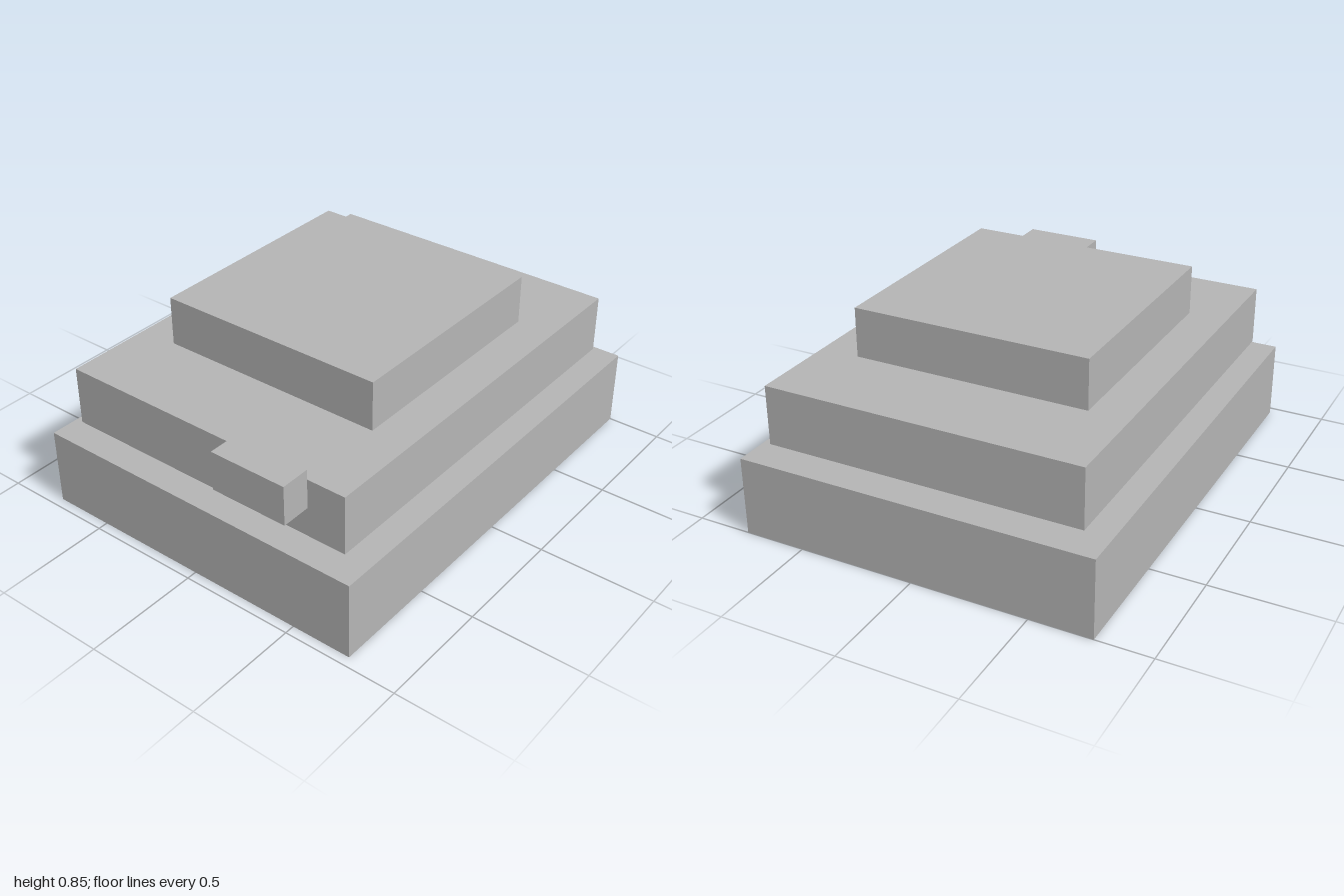
import * as THREE from 'three';

export function createModel() {
  const model = new THREE.Group();
  model.name = 'steppedBlocks';

  const grey = new THREE.MeshStandardMaterial({ color: 0xb4b4b4 });
  grey.name = 'plain grey';

  // Box given by its extents along each axis
  const addBlock = (name, [x0, x1], [y0, y1], [z0, z1]) => {
    const mesh = new THREE.Mesh(new THREE.BoxGeometry(x1 - x0, y1 - y0, z1 - z0), grey);
    mesh.position.set((x0 + x1) / 2, (y0 + y1) / 2, (z0 + z1) / 2);
    mesh.name = name;
    model.add(mesh);
  };

  // Three tiers, with a narrow gap above the lowest
  addBlock('baseTier', [-0.765, 0.765], [0, 0.34], [-1, 0.957]);
  addBlock('middleTier', [-0.68, 0.68], [0.385, 0.64], [-0.915, 0.872]);
  addBlock('topTier', [-0.51, 0.51], [0.64, 0.853], [-0.532, 0.489]);

  // Small block on the front of the middle tier
  addBlock('frontBlock', [0.17, 0.51], [0.513, 0.683], [0.872, 1]);

  return model;
}
